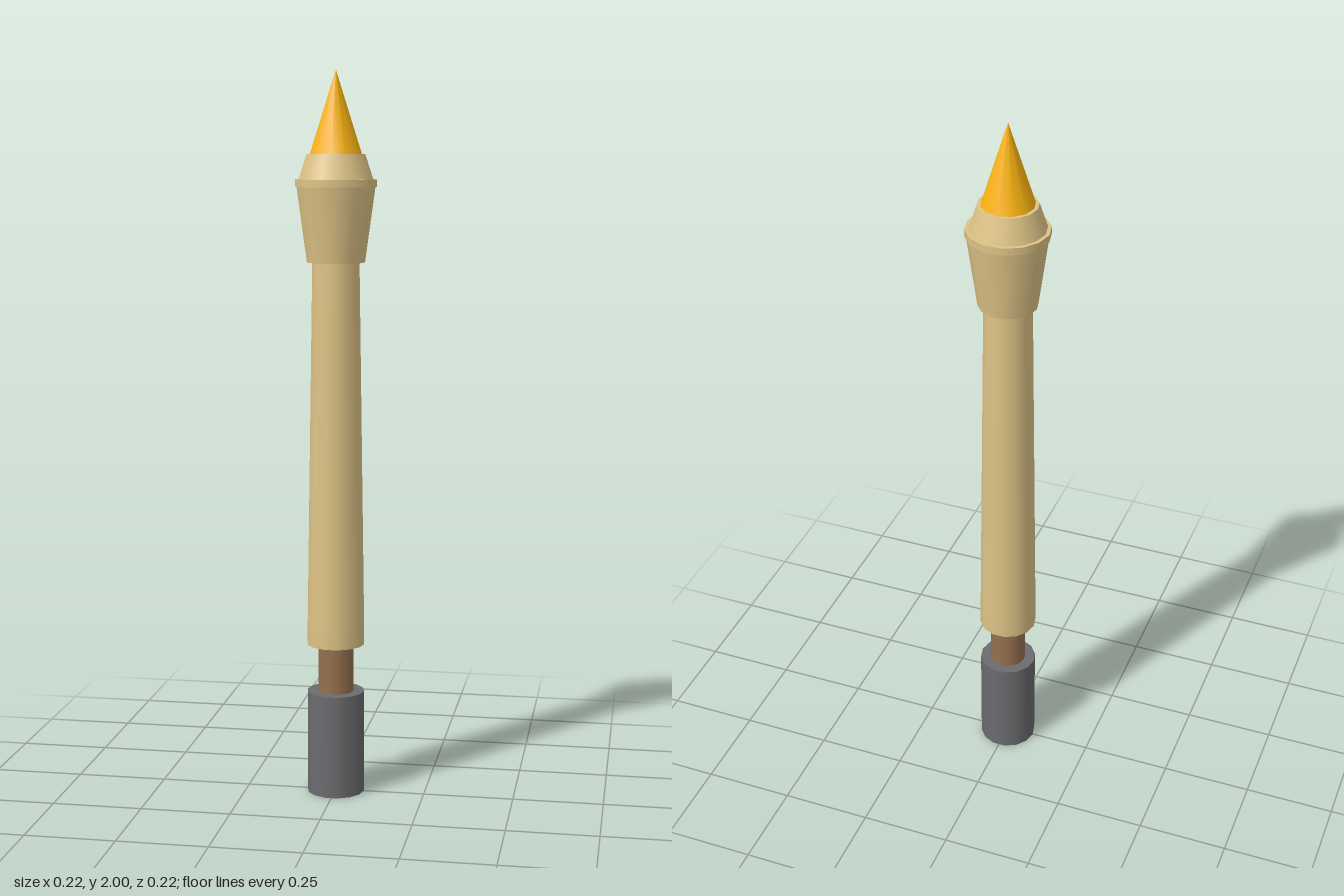
import * as THREE from 'three';

const tan = new THREE.MeshStandardMaterial({ color: 0xdec386 });
const gold = new THREE.MeshStandardMaterial({ color: 0xfbb410 });
const brown = new THREE.MeshStandardMaterial({ color: 0x94714f });
const grey = new THREE.MeshStandardMaterial({ color: 0x6c6c70 });

export function createModel() {
  const group = new THREE.Group();

  // Upright capped tube between two heights, with a corner on the x axis
  function section(name, y0, y1, r0, r1, material, sides = 14) {
    const geometry = new THREE.CylinderGeometry(r1, r0, y1 - y0, sides);
    geometry.rotateY(Math.PI / 2);
    const mesh = new THREE.Mesh(geometry, material);
    mesh.name = name;
    mesh.position.y = (y0 + y1) / 2;
    group.add(mesh);
  }

  // Foot and the narrow stem above it
  section('base', 0, 0.29, 0.08, 0.08, grey);
  section('stem', 0.29, 0.425, 0.05, 0.05, brown);

  // Straight collar and long tapering shaft
  section('collar', 0.425, 0.472, 0.08, 0.08, tan);
  section('shaft', 0.472, 1.49, 0.08, 0.065, tan);

  // Flared head with a rim and a sloping shoulder
  section('headCup', 1.487, 1.69, 0.08, 0.108, tan);
  section('headRim', 1.69, 1.71, 0.112, 0.112, tan);
  section('headShoulder', 1.71, 1.777, 0.102, 0.08, tan);

  // Pointed tip
  section('tip', 1.777, 2, 0.071, 0, gold, 12);

  return group;
}
